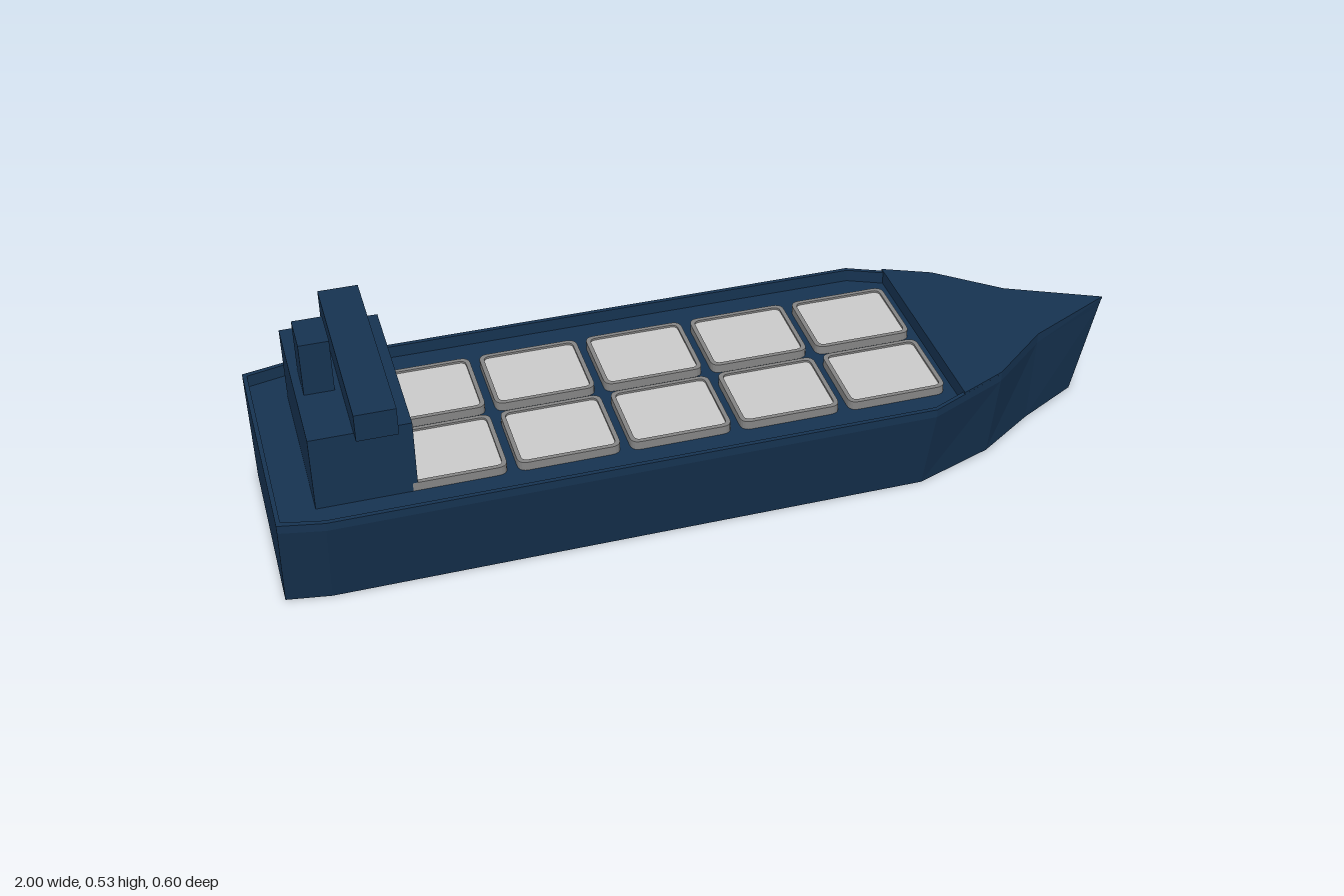
import * as THREE from 'three';

const NAVY = 0x163351;
const DECK_Y = 0.22, RAIL_Y = 0.25, FORE_Y = 0.255;

// half outline of the hull at rail height: [x, half width], stern to bow
const OUTLINE = [[-1, 0.28], [-0.9, 0.3], [0.46, 0.3], [0.65, 0.215], [0.79, 0.1]];

const paint = (color) => new THREE.MeshStandardMaterial({ color, flatShading: true });

function addMesh(parent, name, geometry, material) {
  const mesh = new THREE.Mesh(geometry, material);
  mesh.name = name;
  parent.add(mesh);
  return mesh;
}

// box given by its limits on each axis, symmetric in z
function addBox(parent, name, x0, x1, y0, y1, halfZ, material) {
  const mesh = addMesh(parent, name, new THREE.BoxGeometry(x1 - x0, y1 - y0, halfZ * 2), material);
  mesh.position.set((x0 + x1) / 2, (y0 + y1) / 2, 0);
}

// one closed ring of the hull: left side, bow tip, right side
function hullRing(y, scale, tipX, inset = 0) {
  const half = OUTLINE.map(([x, w], i) => [i === 0 ? x + inset : x, y, (w - inset) * scale]);
  const mirrored = half.map(([x, h, z]) => [x, h, -z]).reverse();
  return [...half, [tipX - inset * 2, y, 0], ...mirrored];
}

// skin over the rings, closed below and above (the last ring is the deck)
function hullGeometry() {
  const rings = [
    hullRing(0, 0.8, 0.94),
    hullRing(0.23, 1, 0.994),
    hullRing(RAIL_Y, 1, 0.999),
    hullRing(RAIL_Y, 1, 0.999, 0.01),
    hullRing(DECK_Y, 1, 0.992, 0.01),
  ];
  const n = rings[0].length, tip = OUTLINE.length, pos = [];
  const tri = (a, b, c) => pos.push(...a, ...b, ...c);
  for (let r = 0; r < rings.length - 1; r++) {
    const lo = rings[r], hi = rings[r + 1];
    for (let i = 0; i < n; i++) {
      const j = (i + 1) % n;
      tri(lo[i], lo[j], hi[j]);
      tri(lo[i], hi[j], hi[i]);
    }
  }
  const cap = (ring, up) => {
    const face = (a, b, c) => (up ? tri(a, b, c) : tri(a, c, b));
    for (let i = 0; i < tip; i++) {
      face(ring[i], ring[i + 1], ring[n - 1 - i]);
      if (i + 1 < tip) face(ring[i + 1], ring[n - 2 - i], ring[n - 1 - i]);
    }
  };
  cap(rings[0], false);
  cap(rings[rings.length - 1], true);
  const geometry = new THREE.BufferGeometry();
  geometry.setAttribute('position', new THREE.Float32BufferAttribute(pos, 3));
  geometry.computeVertexNormals();
  return geometry;
}

// flat plan shape (x, z) raised from y0 to y1
function slab(shape, y0, y1) {
  const geometry = new THREE.ExtrudeGeometry(shape, { depth: y1 - y0, bevelEnabled: false, curveSegments: 5 });
  return geometry.rotateX(-Math.PI / 2).translate(0, y0, 0);
}

function roundedRect(w, h, r, Type = THREE.Shape) {
  const s = new Type(), a = w / 2, b = h / 2;
  s.moveTo(-a + r, -b);
  s.lineTo(a - r, -b).quadraticCurveTo(a, -b, a, -b + r);
  s.lineTo(a, b - r).quadraticCurveTo(a, b, a - r, b);
  s.lineTo(-a + r, b).quadraticCurveTo(-a, b, -a, b - r);
  s.lineTo(-a, -b + r).quadraticCurveTo(-a, -b, -a + r, -b);
  return s;
}

export function createModel() {
  const ship = new THREE.Group();
  ship.name = 'cargoShip';
  const navy = paint(NAVY), rim = paint(0x858585), cover = paint(0xcccccc);

  addMesh(ship, 'hull', hullGeometry(), navy);

  // raised foredeck with its aft bulkhead
  const fore = [[0.54, 0.264], [0.65, 0.215], [0.79, 0.1]];
  const plan = [...fore, [1, 0], ...fore.map(([x, z]) => [x, -z]).reverse()];
  const foreShape = new THREE.Shape(plan.map(([x, z]) => new THREE.Vector2(x, z)));
  addMesh(ship, 'foredeck', slab(foreShape, RAIL_Y, FORE_Y), navy);
  addBox(ship, 'foredeckBulkhead', 0.54, 0.55, DECK_Y - 0.005, RAIL_Y + 0.002, 0.256, navy);

  // two rows of cargo hatches: a raised rim around a lower cover
  const w = 0.23, d = 0.196, t = 0.01;
  const rimShape = roundedRect(w, d, 0.022);
  rimShape.holes.push(roundedRect(w - 2 * t, d - 2 * t, 0.015, THREE.Path));
  const rimGeometry = slab(rimShape, DECK_Y - 0.002, 0.241);
  const coverGeometry = slab(roundedRect(w - 2 * t, d - 2 * t, 0.015), DECK_Y - 0.002, 0.236);
  for (let i = 0; i < 5; i++) {
    for (const side of [-1, 1]) {
      const hatch = new THREE.Group();
      hatch.name = 'cargoHatch';
      addMesh(hatch, 'hatchRim', rimGeometry, rim);
      addMesh(hatch, 'hatchCover', coverGeometry, cover);
      hatch.position.set(-0.608 + i * 0.2525, 0, side * 0.112);
      ship.add(hatch);
    }
  }

  // deckhouse at the stern
  addBox(ship, 'deckhouse', -0.91, -0.69, DECK_Y - 0.005, 0.4, 0.21, navy);
  addBox(ship, 'bridge', -0.813, -0.723, 0.4, 0.466, 0.24, navy);
  addBox(ship, 'funnel', -0.892, -0.826, 0.4, 0.527, 0.048, navy);

  return ship;
}
